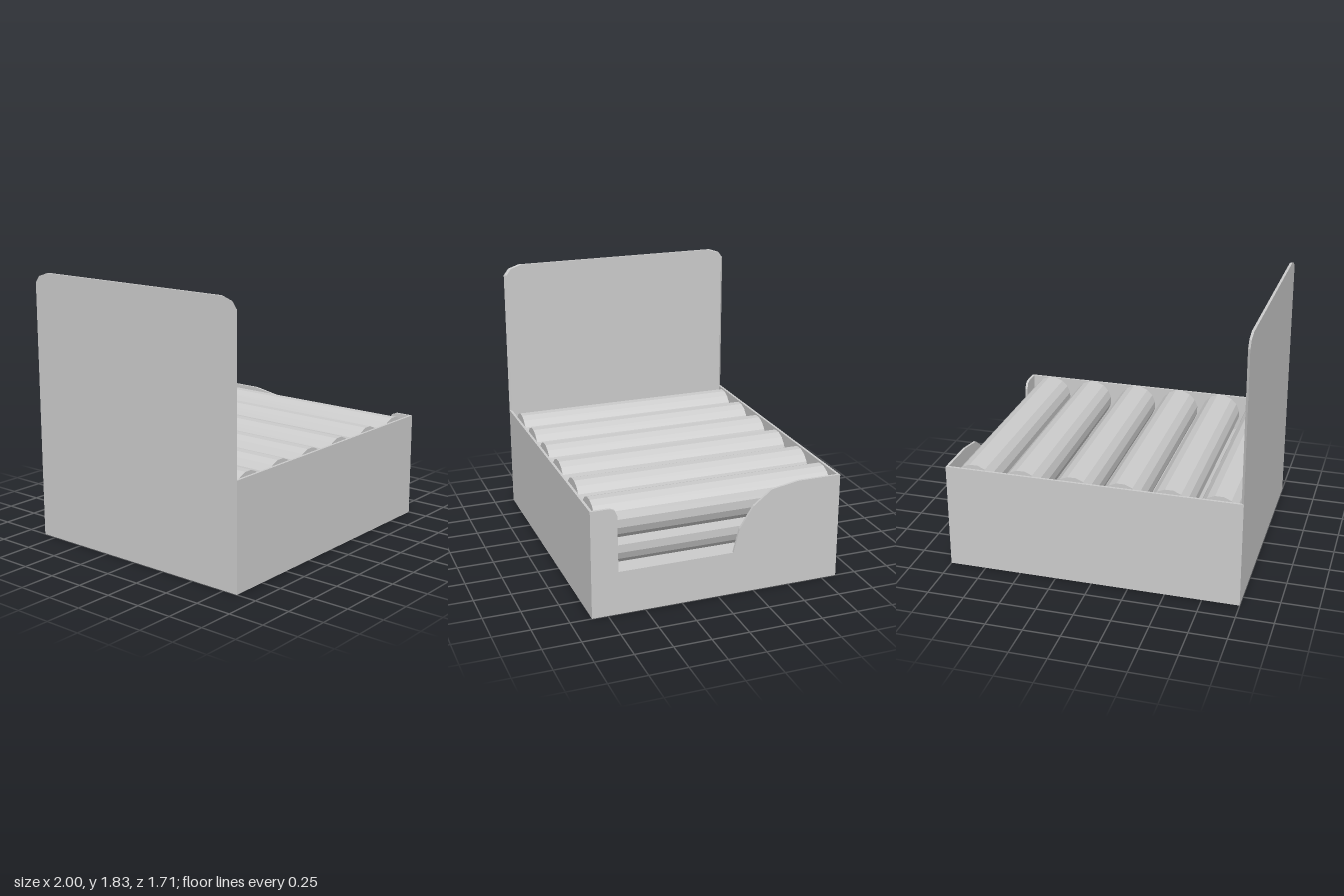
import * as THREE from 'three';

const material = new THREE.MeshStandardMaterial({ color: 0xcccccc, flatShading: true });
const HALF_X = 1, HALF_Z = 0.856, WALL = 0.73, T = 0.017;

// Upright board with mitred ends: outline is in the board's own plane, outer face at depth 0.
function board(name, outline, angle, x, z) {
  const shape = new THREE.Shape(outline.map(([u, v]) => new THREE.Vector2(u, v)));
  const geometry = new THREE.ExtrudeGeometry(shape, { depth: T, bevelEnabled: false });
  const p = geometry.attributes.position;
  for (let i = 0; i < p.count; i++) {
    const u = p.getX(i);
    if (p.getZ(i) > T / 2 && Math.abs(u) > 0.74) p.setX(i, u - Math.sign(u) * T);
  }
  geometry.computeVertexNormals();
  geometry.rotateY(angle).translate(x, 0, z);
  const mesh = new THREE.Mesh(geometry, material);
  mesh.name = name;
  return mesh;
}

// Sixteen-sided roll lying along z, with a flat facet on top
function roll(name, x, y) {
  const geometry = new THREE.CylinderGeometry(0.1425, 0.1425, 1.62, 16);
  geometry.rotateY(Math.PI / 16).rotateX(Math.PI / 2);
  const mesh = new THREE.Mesh(geometry, material);
  mesh.name = name;
  mesh.position.set(x, y, 0);
  return mesh;
}

export function createModel() {
  const group = new THREE.Group();
  group.name = 'displayTray';

  // Long side walls
  const wall = [[-HALF_X, 0], [HALF_X, 0], [HALF_X, WALL], [-HALF_X, WALL]];
  group.add(board('frontWall', wall, Math.PI, 0, HALF_Z));
  group.add(board('backWall', wall, 0, 0, -HALF_Z));

  // Tall header panel with clipped corners
  const corner = [[HALF_Z, 0], [HALF_Z, 1.76], [0.822, 1.806], [0.745, 1.832]];
  const header = [...corner, ...corner.map(([u, v]) => [-u, v]).reverse()];
  group.add(board('headerPanel', header, Math.PI / 2, -HALF_X, 0));

  // End wall with the curved dispensing cut-out
  const cutWall = [
    [-HALF_Z, 0], [HALF_Z, 0], [HALF_Z, WALL],
    [0.73, WALL], [0.697, 0.716], [0.68, 0.675], [0.677, 0.295],
    [-0.105, 0.295], [-0.145, 0.455], [-0.24, 0.6], [-0.367, 0.698], [-0.555, WALL],
    [-HALF_Z, WALL],
  ];
  group.add(board('cutoutWall', cutWall, -Math.PI / 2, HALF_X, 0));

  // Tray floor
  const floor = new THREE.Mesh(
    new THREE.BoxGeometry(2 * (HALF_X - T), 0.02, 2 * (HALF_Z - T)), material);
  floor.name = 'floor';
  floor.position.y = 0.01;
  group.add(floor);

  // Top layer of rolls, with a second layer nested in the gaps
  const xs = [-0.835, -0.51, -0.19, 0.14, 0.49, 0.82];
  xs.forEach((x, i) => {
    group.add(roll('upperRoll', x, 0.603));
    if (i > 0) group.add(roll('lowerRoll', (x + xs[i - 1]) / 2, 0.347));
  });

  return group;
}
